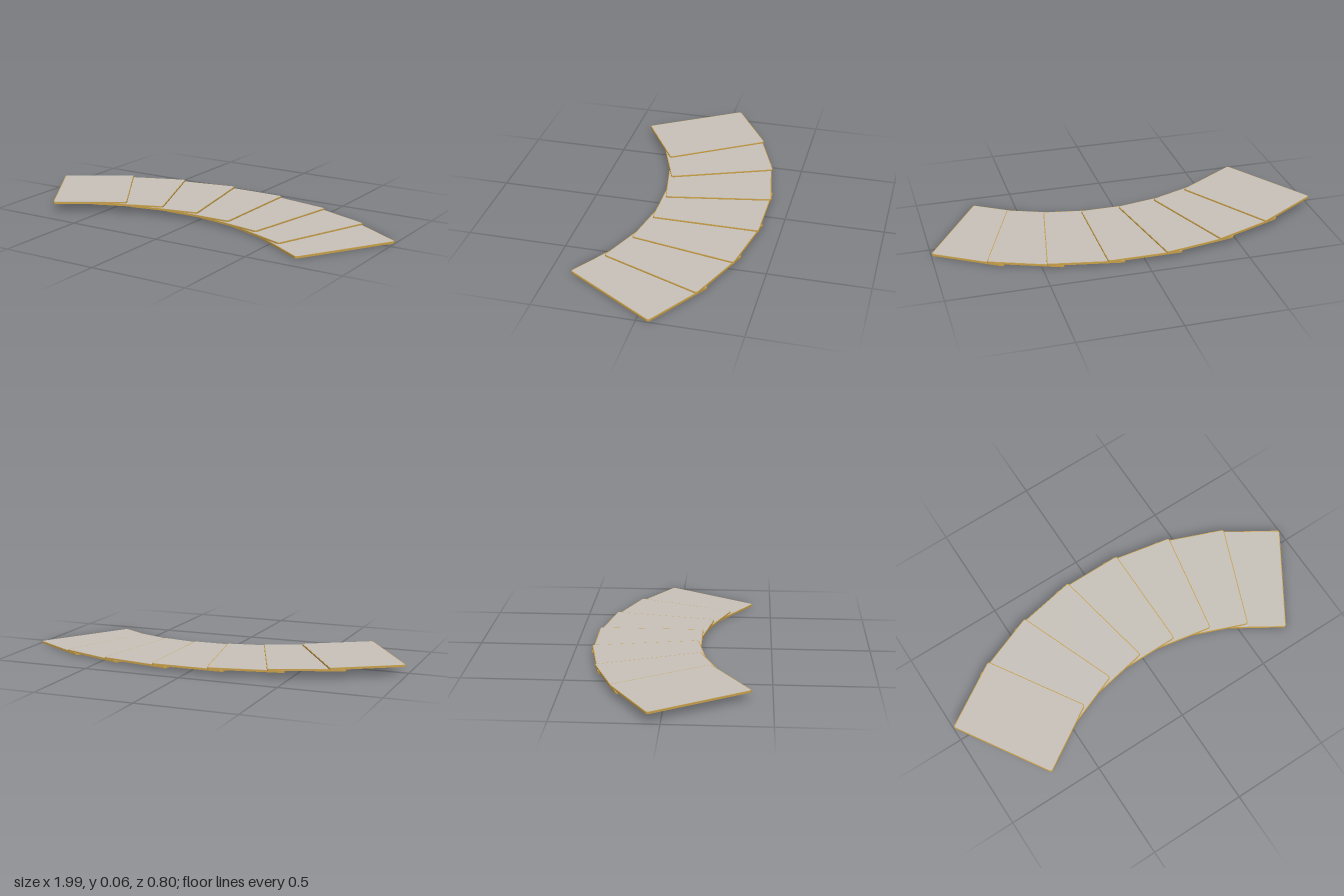
import * as THREE from 'three';

const WIDTH = 0.38, LENGTH = 0.545, CORNER = 0.014;
const SLAB = 0.0098, PLATE = 0.0007;

// Flat rounded rectangle lying in the xz plane, its base at y = 0
function roundedSlab(w, l, r, height) {
  const x = w / 2, y = l / 2;
  const s = new THREE.Shape();
  s.moveTo(-x + r, -y);
  s.lineTo(x - r, -y);
  s.quadraticCurveTo(x, -y, x, -y + r);
  s.lineTo(x, y - r);
  s.quadraticCurveTo(x, y, x - r, y);
  s.lineTo(-x + r, y);
  s.quadraticCurveTo(-x, y, -x, y - r);
  s.lineTo(-x, -y + r);
  s.quadraticCurveTo(-x, -y, -x + r, -y);
  const g = new THREE.ExtrudeGeometry(s, { depth: height, bevelEnabled: false, curveSegments: 4 });
  return g.rotateX(-Math.PI / 2);
}

export function createModel() {
  const model = new THREE.Group();
  model.name = 'cardFan';

  const gold = new THREE.MeshStandardMaterial({ color: 0xc8a04a });
  gold.name = 'gold';
  const paper = new THREE.MeshStandardMaterial({ color: 0xc9c3bb });
  paper.name = 'warmGrey';

  const bodyGeometry = roundedSlab(WIDTH, LENGTH, CORNER, SLAB);
  const faceGeometry = roundedSlab(WIDTH - 0.008, LENGTH - 0.008, CORNER - 0.003, PLATE);

  // Seven cards fanned about a pivot in front, rising from right to left
  const count = 7, radius = 1.31, step = THREE.MathUtils.degToRad(10.67);
  for (let i = 0; i < count; i++) {
    const angle = (i - 3) * step;
    const card = new THREE.Group();
    card.name = `card${i + 1}`;

    const body = new THREE.Mesh(bodyGeometry, gold);
    body.name = 'cardBody';
    const face = new THREE.Mesh(faceGeometry, paper);
    face.name = 'cardFace';
    face.position.y = SLAB;
    card.add(body, face);

    card.position.set(
      -radius * Math.sin(angle),
      i * 0.0075,
      -0.128 + radius * (1 - Math.cos(angle))
    );
    card.rotation.y = angle;
    model.add(card);
  }
  return model;
}
